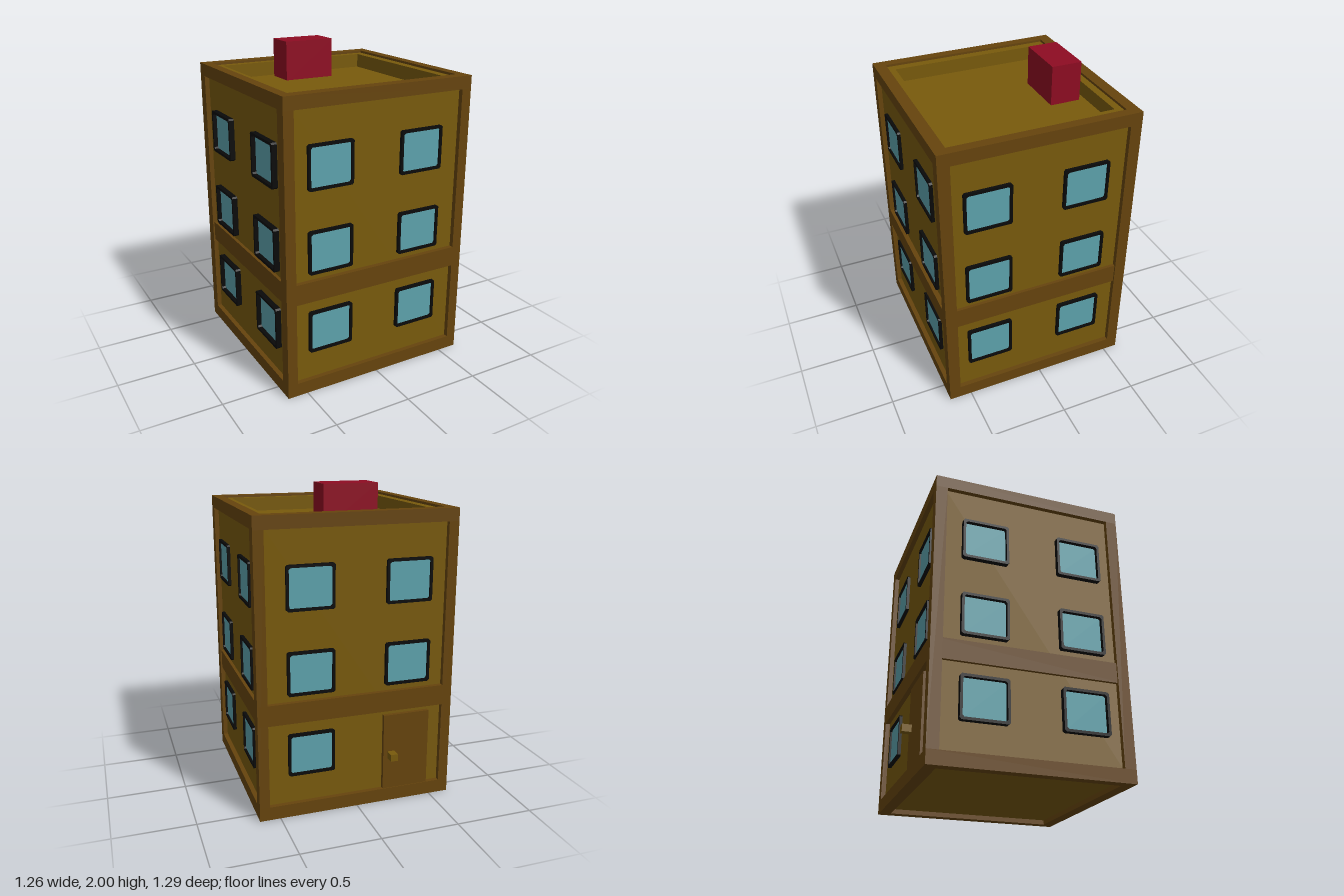
import * as THREE from 'three';

const material = (name, color) => new THREE.MeshStandardMaterial({ name, color });

export function createModel() {
  const trim = material('dark brown trim', 0x66440d);
  const wall = material('ochre wall', 0x785a0c);
  const red = material('chimney red', 0x8e0c22);
  const glass = material('window glass', 0x5da2ac);
  const black = material('window frame black', 0x0a0a0a);

  const model = new THREE.Group();
  model.name = 'apartmentBlock';
  const CZ = 0.025; // centre of the block in z, the door knob sticks out behind

  function add(parent, name, geometry, mat, x = 0, y = 0, z = 0) {
    const mesh = new THREE.Mesh(geometry, mat);
    mesh.name = name;
    mesh.position.set(x, y, z);
    parent.add(mesh);
    return mesh;
  }
  // box given by its limits
  function block(parent, name, mat, x0, x1, y0, y1, z0, z1) {
    return add(parent, name, new THREE.BoxGeometry(x1 - x0, y1 - y0, z1 - z0), mat,
      (x0 + x1) / 2, (y0 + y1) / 2, (z0 + z1) / 2);
  }
  // rectangle with cut corners
  function outline(target, w, h, c = 0) {
    const x = w / 2, y = h / 2;
    const points = c
      ? [[-x + c, -y], [x - c, -y], [x, -y + c], [x, y - c], [x - c, y], [-x + c, y], [-x, y - c], [-x, -y + c]]
      : [[-x, -y], [x, -y], [x, y], [-x, y]];
    return target.setFromPoints(points.map(p => new THREE.Vector2(...p)));
  }
  function ringGeometry(w, h, iw, ih, depth, cut = 0) {
    const shape = outline(new THREE.Shape(), w, h, cut);
    shape.holes.push(outline(new THREE.Path(), iw, ih, cut));
    return new THREE.ExtrudeGeometry(shape, { depth, bevelEnabled: false });
  }
  // horizontal square ring around the building
  function ring(name, mat, hx, hz, ix, iz, y0, y1) {
    const geometry = ringGeometry(hx * 2, hz * 2, ix * 2, iz * 2, y1 - y0).rotateX(-Math.PI / 2);
    add(model, name, geometry, mat, 0, y0, CZ);
  }

  // walls, sunken roof and floor
  ring('walls', wall, 0.6, 0.59, 0.513, 0.5, 0.03, 1.84);
  block(model, 'roof', wall, -0.52, 0.52, 1.7, 1.75, CZ - 0.51, CZ + 0.51);
  block(model, 'floor', wall, -0.52, 0.52, 0.03, 0.06, CZ - 0.51, CZ + 0.51);

  // outer trim: beams, band and corner posts
  ring('baseBeam', trim, 0.63, 0.62, 0.568, 0.547, 0, 0.085);
  ring('topBeam', trim, 0.63, 0.62, 0.568, 0.547, 1.775, 1.855);
  ring('middleBand', trim, 0.62, 0.62, 0.55, 0.54, 0.615, 0.745);
  for (const sx of [-1, 1]) for (const sz of [-1, 1]) {
    add(model, 'cornerPost', new THREE.BoxGeometry(0.064, 1.69, 0.073), trim,
      sx * 0.598, 0.93, CZ + sz * 0.5835);
  }

  block(model, 'chimney', red, -0.168, 0.168, 1.74, 2, -0.436, -0.243);

  // windows: each side is a group whose local +z points outwards
  const frameGeometries = {};
  function windowAt(side, x, y, depth) {
    const unit = new THREE.Group();
    unit.name = 'window';
    unit.position.set(x, y, 0);
    frameGeometries[depth] ??= ringGeometry(0.295, 0.272, 0.263, 0.238, depth, 0.01);
    add(unit, 'windowFrame', frameGeometries[depth], black);
    add(unit, 'windowGlass', new THREE.BoxGeometry(0.27, 0.245, 0.008), glass, 0, 0, 0.004);
    side.add(unit);
  }
  const sides = [
    { name: 'frontWindows', turn: 0, at: [0, 0.615], columns: [-0.3275, 0.2925], depth: 0.02 },
    { name: 'leftWindows', turn: Math.PI / 2, at: [0.6, 0], columns: [-0.3525, 0.2675], depth: 0.02 },
    { name: 'backWindows', turn: Math.PI, at: [0, -0.565], columns: [0.3275, -0.2925], depth: 0.02 },
    { name: 'rightWindows', turn: -Math.PI / 2, at: [-0.6, 0], columns: [0.3525, -0.2675], depth: 0.034 },
  ];
  for (const { name, turn, at, columns, depth } of sides) {
    const side = new THREE.Group();
    side.name = name;
    side.position.set(at[0], 0, at[1]);
    side.rotation.y = turn;
    for (const y of [0.402, 0.918, 1.433]) for (const x of columns) {
      const doorway = name === 'backWindows' && y < 0.5 && x > 0;
      if (!doorway) windowAt(side, x, y, depth);
    }
    model.add(side);
  }

  // back door with a square knob
  block(model, 'door', trim, -0.48, -0.175, 0.085, 0.585, -0.59, -0.56);
  block(model, 'doorKnob', wall, -0.25, -0.203, 0.295, 0.34, -0.648, -0.585);

  return model;
}
